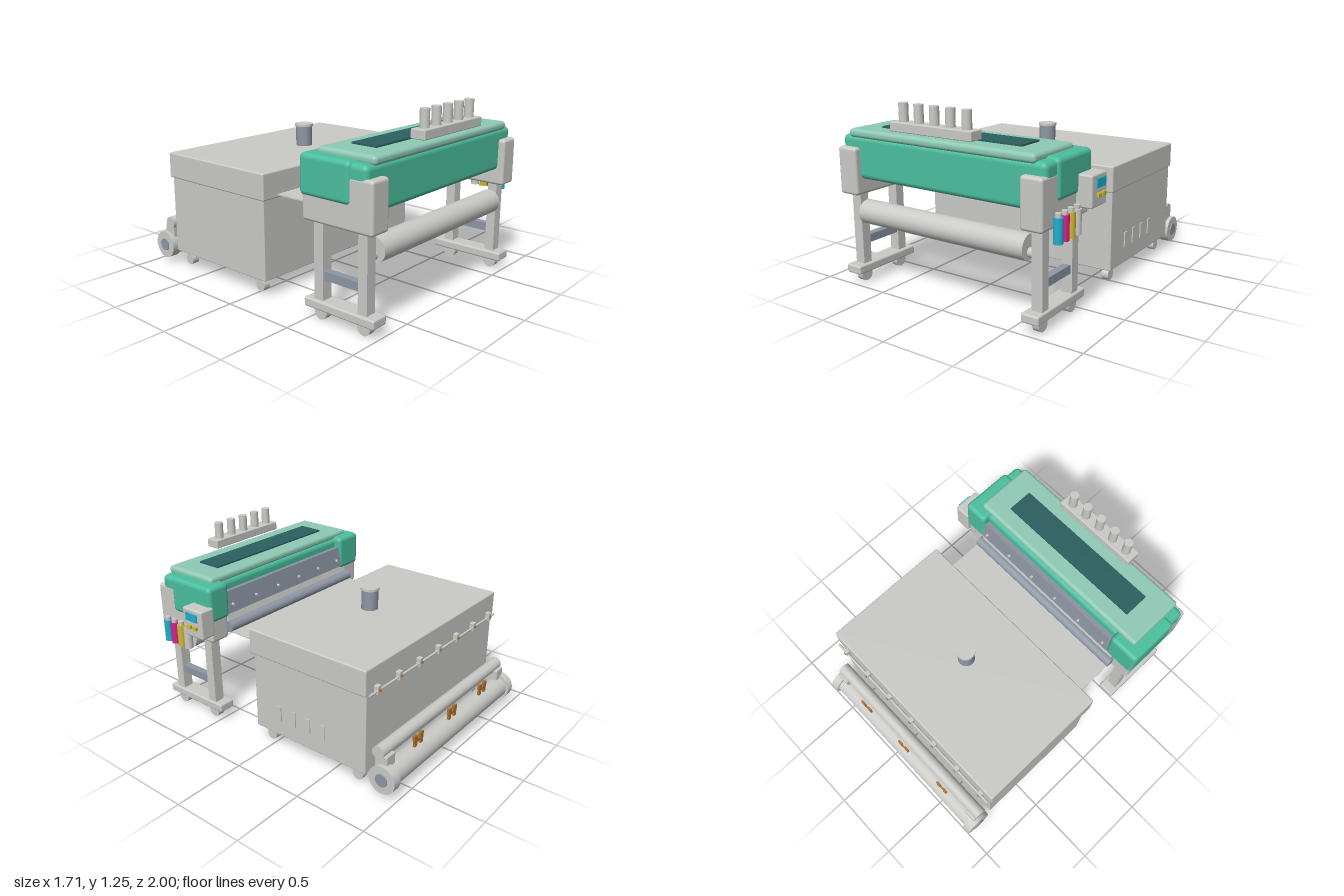
import * as THREE from 'three';
import { RoundedBoxGeometry } from 'three/addons/geometries/RoundedBoxGeometry.js';

const paint = (name, color) => {
  const m = new THREE.MeshStandardMaterial({ color });
  m.name = name;
  return m;
};

export function createModel() {
  const grey = paint('light grey', 0xcacac7);
  const green = paint('green', 0x4bbf9f);
  const mint = paint('mint', 0x8fcab5);
  const glass = paint('dark glass', 0x2c5f5f);
  const slate = paint('slate', 0x8e97a4);
  const cyan = paint('cyan', 0x1fb0d0);
  const magenta = paint('magenta', 0xd81f90);
  const yellow = paint('yellow', 0xd0b830);
  const copper = paint('copper', 0xb0722e);

  const model = new THREE.Group();
  const group = (name, parent = model) => {
    const g = new THREE.Group();
    g.name = name;
    parent.add(g);
    return g;
  };

  // Box given by its limits on each axis, optionally with rounded edges
  const box = (parent, name, mat, [x0, x1], [y0, y1], [z0, z1], r = 0) => {
    const s = [x1 - x0, y1 - y0, z1 - z0];
    const geo = r ? new RoundedBoxGeometry(...s, 3, r) : new THREE.BoxGeometry(...s);
    const m = new THREE.Mesh(geo, mat);
    m.name = name;
    m.position.set((x0 + x1) / 2, (y0 + y1) / 2, (z0 + z1) / 2);
    parent.add(m);
    return m;
  };
  // Cylinder lying along x
  const rollerX = (parent, name, mat, [x0, x1], y, z, r) => {
    const m = new THREE.Mesh(new THREE.CylinderGeometry(r, r, x1 - x0, 32), mat);
    m.name = name;
    m.rotation.z = Math.PI / 2;
    m.position.set((x0 + x1) / 2, y, z);
    parent.add(m);
    return m;
  };
  // Upright cylinder
  const post = (parent, name, mat, x, [y0, y1], z, r) => {
    const m = new THREE.Mesh(new THREE.CylinderGeometry(r, r, y1 - y0, 28), mat);
    m.name = name;
    m.position.set(x, (y0 + y1) / 2, z);
    parent.add(m);
    return m;
  };

  // Printer housing
  const printer = group('printer');
  box(printer, 'mainHousing', green, [-0.84, 0.725], [0.725, 1.01], [0.52, 0.953], 0.035);
  box(printer, 'topLid', mint, [-0.775, 0.655], [0.995, 1.053], [0.535, 0.96], 0.025);
  box(printer, 'lidWindow', glass, [-0.6, 0.485], [1.05, 1.064], [0.65, 0.83]);
  box(printer, 'rightEndCap', green, [-0.855, -0.63], [0.77, 1.02], [0.465, 0.845], 0.03);
  box(printer, 'leftEndCap', green, [0.563, 0.741], [0.77, 1.02], [0.465, 0.845], 0.03);
  for (const [x0, x1] of [[-0.842, -0.688], [0.576, 0.727]]) {
    box(printer, 'sideBlock', grey, [x0, x1], [0.62, 0.935], [0.478, 0.997], 0.02);
  }

  // Rear panel with screws, apron and feed roller
  const backPanel = box(printer, 'rearPanel', slate, [-0.64, 0.575], [0.79, 0.945], [0.475, 0.525]);
  backPanel.rotation.x = 0.12;
  for (let i = 0; i < 6; i++) {
    const screw = new THREE.Mesh(new THREE.CylinderGeometry(0.01, 0.01, 0.02, 12), grey);
    screw.name = 'panelScrew';
    screw.rotation.x = Math.PI / 2;
    screw.position.set(-0.59 + i * 0.224, 0.85, 0.468);
    printer.add(screw);
  }
  const apron = box(printer, 'rearApron', grey, [-0.69, 0.576], [0.725, 0.8], [0.475, 0.495]);
  apron.rotation.x = 0.25;
  rollerX(printer, 'feedRoller', slate, [-0.71, 0.595], 0.705, 0.457, 0.038);
  box(printer, 'fabricSheet', grey, [-0.705, 0.592], [0.672, 0.68], [0.1, 0.46]);

  // Stand: a pair of legs on each side
  for (const [name, x] of [['rightStand', -0.763], ['leftStand', 0.655]]) {
    const stand = group(name);
    const foot = x < 0 ? x : x - 0.01;
    box(stand, 'frontLeg', grey, [x - 0.037, x + 0.037], [0.12, 0.64], [0.868, 0.934]);
    box(stand, 'rearLeg', grey, [x - 0.037, x + 0.037], [0.12, 0.64], [0.536, 0.605]);
    box(stand, 'crossBar', slate, [x - 0.025, x + 0.025], [0.26, 0.315], [0.6, 0.87]);
    box(stand, 'footBar', grey, [foot - 0.061, foot + 0.061], [0.073, 0.132], [0.472, 1], 0.012);
    for (const z of [0.9, 0.573]) {
      rollerX(stand, 'caster', grey, [x - 0.024, x + 0.024], 0.046, z, 0.046);
    }
  }

  // Front supply roll
  rollerX(model, 'supplyRoll', grey, [-0.7, 0.585], 0.497, 0.9, 0.08);
  rollerX(model, 'supplyAxle', grey, [-0.74, 0.63], 0.467, 0.9, 0.03);

  // Tray of cups above the lid
  const tray = group('cupTray');
  box(tray, 'tray', grey, [-0.37, 0.255], [1.08, 1.14], [0.895, 0.998], 0.006);
  for (let i = 0; i < 5; i++) {
    post(tray, 'cup', grey, -0.3 + i * 0.1215, [1.13, 1.255], 0.944, 0.03);
  }

  // Control panel
  const control = group('controlPanel');
  box(control, 'panelBox', grey, [0.72, 0.832], [0.69, 0.89], [0.452, 0.633], 0.012);
  box(control, 'screen', cyan, [0.836, 0.845], [0.81, 0.865], [0.488, 0.592]);
  box(control, 'screenMount', grey, [0.825, 0.837], [0.815, 0.86], [0.495, 0.585]);
  for (const z of [0.51, 0.565]) {
    box(control, 'button', yellow, [0.83, 0.85], [0.753, 0.777], [z - 0.017, z + 0.017]);
  }

  // Ink bottles
  const inks = group('inkBottles');
  [cyan, magenta, yellow, grey].forEach((mat, i) => {
    const z = 0.886 - i * 0.0677;
    post(inks, 'bottle', mat, 0.763, [0.547, 0.7], z, 0.029);
    post(inks, 'bottleCap', grey, 0.763, [0.7, 0.725], z, 0.019);
  });

  // Curing cabinet
  const cabinet = group('cabinet');
  box(cabinet, 'cabinetBody', grey, [-0.805, 0.698], [0.116, 0.66], [-0.783, 0.118], 0.006);
  box(cabinet, 'cabinetLid', grey, [-0.828, 0.712], [0.655, 0.83], [-0.786, 0.142], 0.01);
  post(cabinet, 'chimney', slate, -0.035, [0.82, 0.968], -0.263, 0.057);
  post(cabinet, 'chimneyCap', grey, -0.035, [0.968, 0.985], -0.263, 0.064);
  for (let i = 0; i < 4; i++) {
    const z = -0.09 - i * 0.1217;
    box(cabinet, 'vent', grey, [0.69, 0.706], [0.23, 0.335], [z - 0.018, z + 0.018]);
  }
  for (const x of [-0.74, 0.63]) {
    for (const z of [0.027, -0.697]) {
      rollerX(cabinet, 'cabinetCaster', grey, [x - 0.025, x + 0.025], 0.057, z, 0.038);
      box(cabinet, 'casterFork', grey, [x - 0.012, x + 0.012], [0.06, 0.12], [z - 0.015, z + 0.015]);
    }
  }

  // Rear latch rod with clasps
  rollerX(cabinet, 'latchRod', grey, [-0.81, 0.695], 0.668, -0.803, 0.008);
  for (let i = 0; i < 7; i++) {
    const x = -0.733 + i * 0.224;
    box(cabinet, 'claspPlate', grey, [x - 0.018, x + 0.018], [0.645, 0.705], [-0.815, -0.78], 0.004);
    rollerX(cabinet, 'claspKnob', copper, [x - 0.008, x + 0.008], 0.675, -0.813, 0.01);
  }

  // Take-up unit behind the cabinet
  const takeUp = group('takeUpUnit');
  rollerX(takeUp, 'takeUpRoll', grey, [-0.76, 0.645], 0.132, -0.906, 0.078);
  rollerX(takeUp, 'guideRoller', grey, [-0.796, 0.68], 0.298, -0.862, 0.043);
  for (const [x0, x1, out] of [[-0.818, -0.756, -0.821], [0.638, 0.7, 0.703]]) {
    rollerX(takeUp, 'flange', grey, [x0, x1], 0.132, -0.906, 0.095);
    rollerX(takeUp, 'hub', slate, [out - 0.004, out + 0.004], 0.132, -0.906, 0.043);
    const c = (x0 + x1) / 2 + (x0 < 0 ? 0.04 : -0.04);
    box(takeUp, 'rollerBracket', grey, [c - 0.045, c + 0.045], [0.185, 0.285], [-0.925, -0.835], 0.008);
  }
  // Copper clips: paired jaws on a short bar
  for (const x of [-0.468, -0.06, 0.347]) {
    box(takeUp, 'clipBar', copper, [x - 0.05, x + 0.05], [0.245, 0.262], [-0.937, -0.925]);
    for (const dx of [-0.032, 0.032]) {
      box(takeUp, 'clipUpperJaw', copper, [x + dx - 0.019, x + dx + 0.019], [0.262, 0.293], [-0.938, -0.922]);
      box(takeUp, 'clipLowerJaw', copper, [x + dx - 0.013, x + dx + 0.013], [0.215, 0.248], [-0.938, -0.922]);
    }
  }
  return model;
}
